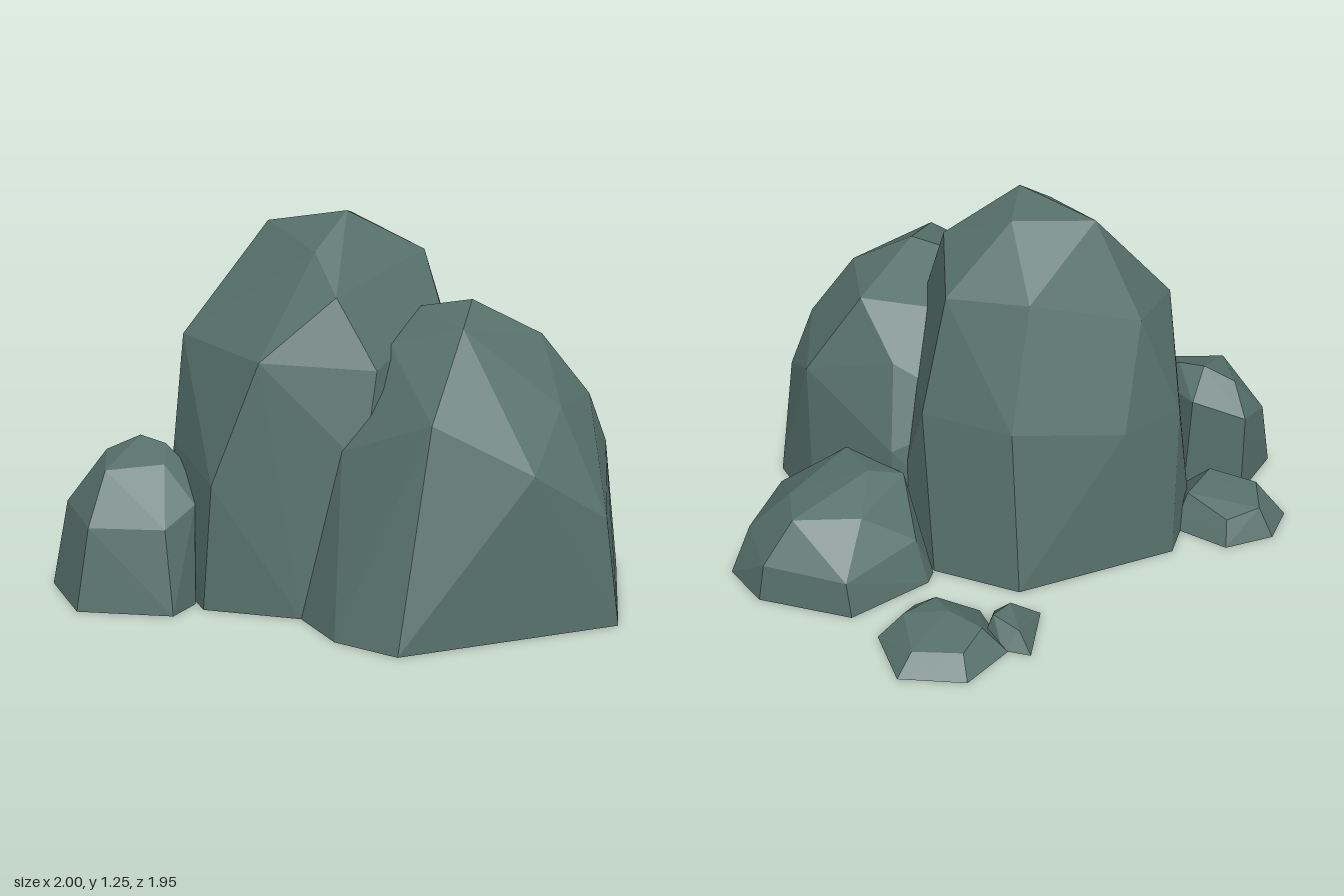
import * as THREE from 'three';
import { ConvexGeometry } from 'three/addons/geometries/ConvexGeometry.js';

const stone = new THREE.MeshStandardMaterial({ color: 0x56706a, flatShading: true, side: THREE.DoubleSide });
stone.name = 'greyGreenStone';

// A faceted boulder, open underneath: a ground outline [x, z] and a few
// corners [x, y, z] above it, wrapped in flat facets
function rock(name, outline, corners) {
  const points = [
    ...outline.map(([x, z]) => new THREE.Vector3(x, 0, z)),
    ...corners.map((c) => new THREE.Vector3(...c)),
  ];
  const hull = new ConvexGeometry(points).getAttribute('position');

  // Leave out the flat underside
  const kept = [];
  for (let i = 0; i < hull.count; i += 3) {
    const triangle = [i, i + 1, i + 2];
    if (triangle.every((c) => hull.getY(c) < 1e-4)) continue;
    for (const c of triangle) kept.push(hull.getX(c), hull.getY(c), hull.getZ(c));
  }
  const geometry = new THREE.BufferGeometry();
  geometry.setAttribute('position', new THREE.Float32BufferAttribute(kept, 3));
  geometry.computeVertexNormals();
  const mesh = new THREE.Mesh(geometry, stone);
  mesh.name = name;
  return mesh;
}

export function createModel() {
  const group = new THREE.Group();
  group.name = 'rockCluster';
  group.add(
    // Two large boulders pushed into each other
    rock('tallBoulder',
      [[-0.62, -0.08], [-0.13, -0.45], [0.2, -0.41], [0.46, -0.15], [0.51, 0.15], [0.45, 0.45], [0.2, 0.68], [0, 0.75], [-0.33, 0.74], [-0.47, 0.55], [-0.64, 0.2]],
      [
        // lower shoulder
        [-0.59, 0.5, 0.1], [-0.51, 0.48, 0.45], [-0.44, 0.55, -0.18], [-0.08, 0.6, -0.36], [0.26, 0.6, -0.3], [0.46, 0.6, 0.15], [0.19, 0.5, 0.68], [-0.3, 0.42, 0.72],
        // upper shoulder
        [-0.49, 0.84, 0.38], [-0.44, 0.88, 0.05], [-0.1, 1.02, -0.2], [0.2, 1.0, -0.18], [0.37, 0.92, 0.22], [0.22, 0.8, 0.62], [-0.15, 0.82, 0.67],
        // crown
        [0.08, 1.02, 0.57], [-0.02, 1.14, 0.43], [0.29, 1.11, 0.1], [-0.25, 1.2, 0.14], [0.02, 1.22, 0.02], [0.05, 1.255, 0.25],
      ]),
    rock('broadBoulder',
      [[0, 0.75], [0.14, 0.9], [0.35, 0.97], [1, 0.6], [0.985, 0.06], [0.76, -0.17], [0.4, -0.28], [0.05, -0.18], [-0.21, 0.1], [-0.2, 0.48]],
      [
        // lower shoulder
        [0.73, 0.52, 0.73], [0.95, 0.35, 0.59], [0.93, 0.47, 0.12], [0.78, 0.58, -0.08], [0.4, 0.38, -0.25], [0.1, 0.5, -0.1],
        [-0.1, 0.45, 0.15], [-0.08, 0.45, 0.42], [0.12, 0.55, 0.68],
        // upper shoulder
        [0.42, 0.68, 0.79], [0.79, 0.68, 0.49], [0.87, 0.66, 0.22], [0.42, 0.68, -0.13], [0.02, 0.67, 0.25], [0.12, 0.8, 0.3],
        // crown
        [0.24, 0.86, 0.5], [0.48, 0.93, 0.54], [0.71, 0.87, 0.28], [0.58, 0.86, 0], [0.3, 0.84, 0.03], [0.31, 0.95, 0.29], [0.48, 0.98, 0.3],
      ]),
    // Medium rocks
    rock('backRock',
      [[0.4, -0.73], [0.75, -0.72], [0.91, -0.6], [0.92, -0.19], [0.8, -0.09], [0.4, -0.08], [0.2, -0.42], [0.2, -0.48]],
      [
        [0.42, 0.13, -0.71], [0.73, 0.14, -0.7], [0.87, 0.14, -0.5], [0.86, 0.15, -0.22], [0.65, 0.2, -0.11], [0.25, 0.16, -0.45],
        [0.42, 0.28, -0.53], [0.65, 0.28, -0.6], [0.72, 0.28, -0.45], [0.6, 0.325, -0.18], [0.46, 0.35, -0.34], [0.35, 0.31, -0.27],
      ]),
    rock('sideRock',
      [[-0.82, 0.36], [-0.6, 0.32], [-0.5, 0.42], [-0.37, 0.7], [-0.41, 0.81], [-0.73, 0.835], [-0.9, 0.62]],
      [
        [-0.86, 0.28, 0.56], [-0.81, 0.33, 0.37], [-0.61, 0.4, 0.33], [-0.7, 0.27, 0.78], [-0.45, 0.27, 0.75], [-0.385, 0.32, 0.63], [-0.41, 0.39, 0.52],
        [-0.75, 0.44, 0.46], [-0.63, 0.495, 0.45], [-0.53, 0.48, 0.48], [-0.5, 0.44, 0.59], [-0.68, 0.43, 0.66],
      ]),
    // Pebbles
    rock('sidePebble',
      [[-0.97, 0.1], [-0.81, -0.01], [-0.6, 0.06], [-0.55, 0.3], [-0.83, 0.41], [-1, 0.26]],
      [[-0.91, 0.11, 0.12], [-0.8, 0.09, 0.04], [-0.64, 0.13, 0.12], [-0.7, 0.145, 0.28], [-0.88, 0.12, 0.27]]),
    rock('backPebble',
      [[-0.08, -0.94], [0.15, -0.98], [0.28, -0.8], [0.21, -0.61], [-0.02, -0.58], [-0.17, -0.76]],
      [[-0.08, 0.085, -0.76], [0.05, 0.1, -0.72], [0.2, 0.08, -0.75], [0.12, 0.065, -0.91], [-0.05, 0.07, -0.88], [0.12, 0.08, -0.64]]),
    rock('tinyPebble',
      [[-0.25, -0.76], [-0.15, -0.76], [-0.07, -0.71], [-0.07, -0.57], [-0.23, -0.54]],
      [[-0.2, 0.065, -0.72], [-0.1, 0.09, -0.69], [-0.14, 0.085, -0.61]]),
  );
  return group;
}
